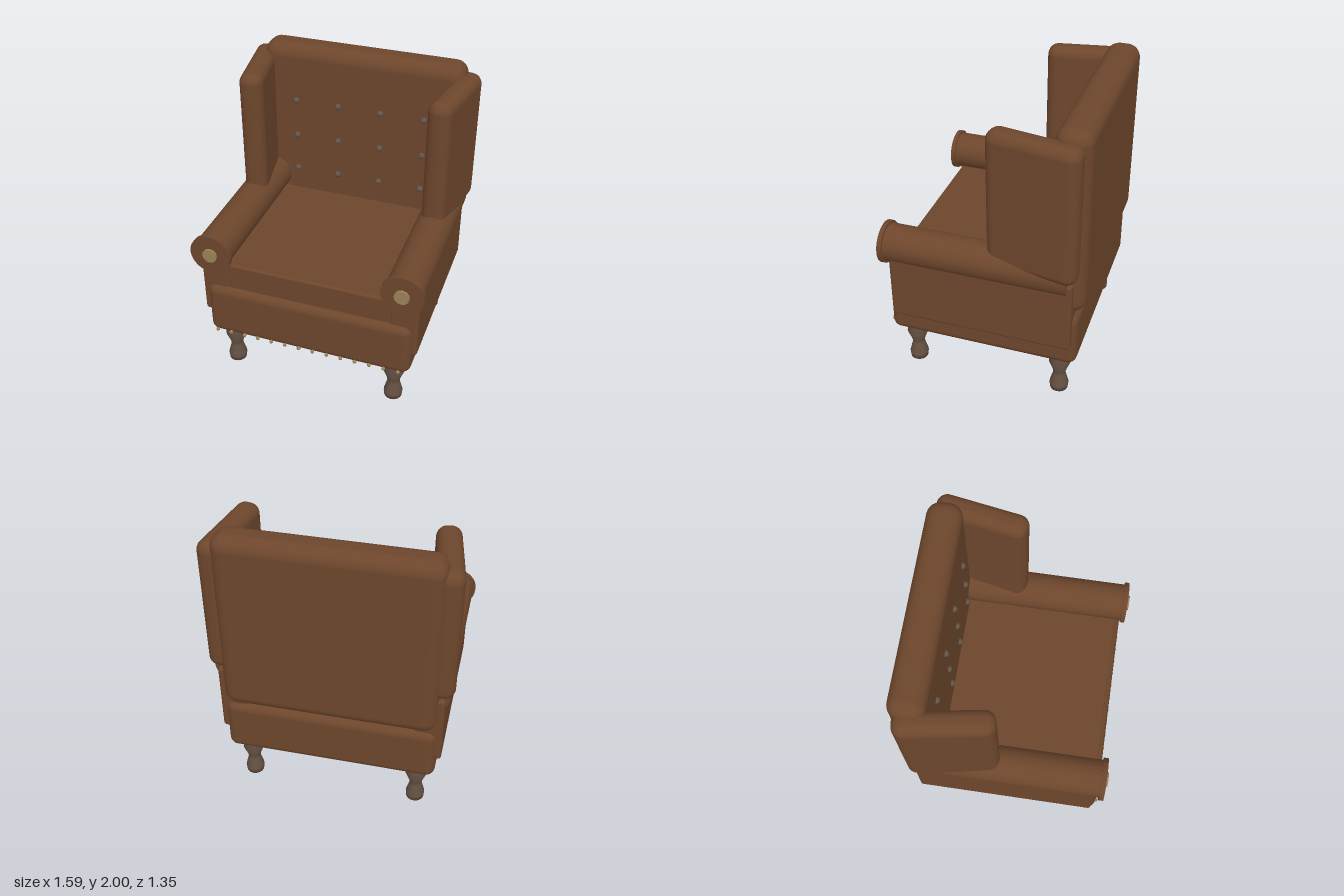
import * as THREE from 'three';
import { RoundedBoxGeometry } from 'three/addons/geometries/RoundedBoxGeometry.js';

const material = (name, color) => {
  const m = new THREE.MeshStandardMaterial({ color });
  m.name = name;
  return m;
};

export function createModel() {
  const chair = new THREE.Group();
  chair.name = 'wingArmchair';

  const leather = material('brown leather', 0x6d462c);
  const wood = material('dark wood', 0x665143);
  const buttonMat = material('button grey brown', 0x61544a);
  const brass = material('aged brass', 0x9a8158);

  const add = (name, geometry, mat, x, y, z, parent = chair) => {
    const mesh = new THREE.Mesh(geometry, mat);
    mesh.name = name;
    mesh.position.set(x, y, z);
    parent.add(mesh);
    return mesh;
  };
  const softBox = (w, h, d, r) => new RoundedBoxGeometry(w, h, d, 5, r);
  // Cylinder lying along z
  const barrel = (r, length, sides) =>
    new THREE.CylinderGeometry(r, r, length, sides).rotateX(Math.PI / 2);

  // Upholstered body
  add('seatBase', softBox(1.41, 0.39, 1.275, 0.06), leather, 0, 0.515, 0.0025);
  add('seatCushion', softBox(1.16, 0.25, 1.1, 0.015), leather, 0, 0.765, 0.05);
  add('backrest', softBox(1.4, 1.27, 0.228, 0.09), leather, 0, 1.365, -0.558);

  // Turned leg profile
  const legProfile = [
    [0.028, 0.012], [0.06, 0.01], [0.064, 0.05], [0.042, 0.13], [0.044, 0.16],
    [0.072, 0.235], [0.056, 0.32], [0.056, 0.36],
  ].map(([r, y]) => new THREE.Vector2(r, y));
  const legGeometry = new THREE.LatheGeometry(legProfile, 16);
  const footGeometry = new THREE.CylinderGeometry(0.03, 0.03, 0.03, 16);

  for (const s of [1, -1]) {
    const side = s > 0 ? 'left' : 'right';

    // Arm: side panel, roll, front disc and rosette
    add(side + 'ArmPanel', softBox(0.185, 0.5, 1.21, 0.02), leather, s * 0.6475, 0.73, 0);
    add(side + 'ArmRoll', barrel(0.125, 1.205, 32), leather, s * 0.64, 0.99, 0.0325);
    add(side + 'ArmDisc', barrel(0.14, 0.03, 32), leather, s * 0.64, 0.99, 0.645);
    add(side + 'ArmRosette', barrel(0.05, 0.016, 12), brass, s * 0.64, 0.99, 0.667);

    // Wing, toed in towards the front
    const wing = add(side + 'Wing', softBox(0.16, 0.93, 0.6, 0.07), leather, s * 0.675, 1.465, -0.338);
    wing.rotation.y = -s * 0.17;

    for (const z of [0.51, -0.505]) {
      const leg = new THREE.Group();
      leg.name = side + (z > 0 ? 'FrontLeg' : 'BackLeg');
      leg.position.set(s * 0.575, 0, z);
      add('turnedLeg', legGeometry, wood, 0, 0, 0, leg);
      add('footPad', footGeometry, wood, 0, 0.015, 0, leg);
      chair.add(leg);
    }
  }

  // Tufting buttons on the backrest
  const buttonGeometry = new THREE.SphereGeometry(0.022, 14, 10);
  for (const y of [1.06, 1.33, 1.6]) {
    for (let i = 0; i < 4; i++) {
      add('tuftButton', buttonGeometry, buttonMat, -0.455 + i * 0.3033, y, -0.441);
    }
  }

  // Row of nail heads along the front edge
  const nailGeometry = new THREE.SphereGeometry(0.013, 10, 8);
  for (let i = 0; i < 14; i++) {
    add('nailHead', nailGeometry, brass, -0.642 + i * 0.0983, 0.352, 0.648);
  }

  return chair;
}
